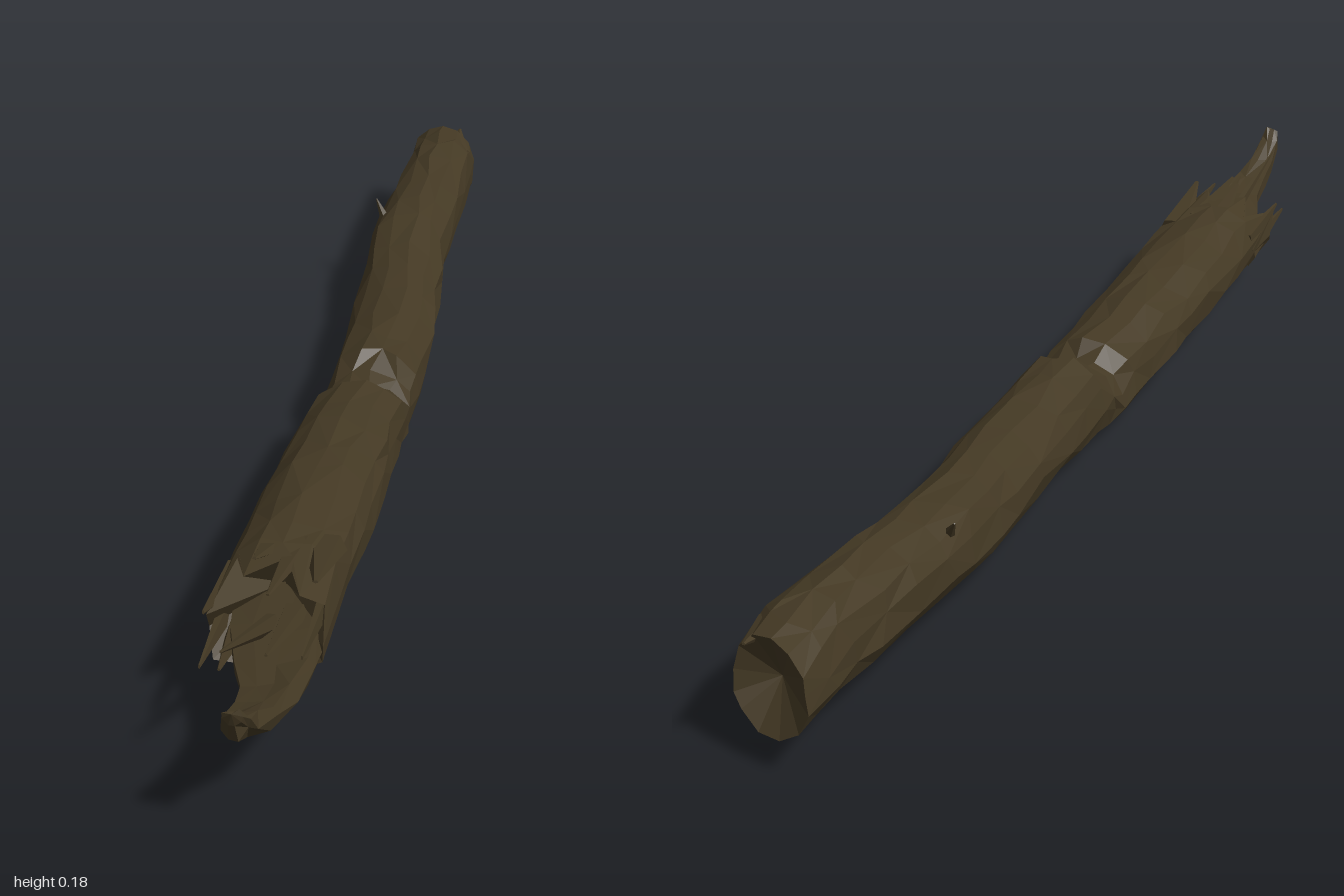
import * as THREE from 'three';

// Small seeded random, returns -1..1
function makeRandom(seed) {
  let s = seed;
  return () => {
    s = (s * 16807) % 2147483647;
    return (s / 2147483647) * 2 - 1;
  };
}

// Interpolates cross-sections [z, xMin, xMax, yMin, yMax] at a given z
function sectionAt(keys, z) {
  let i = 0;
  while (i < keys.length - 2 && z > keys[i + 1][0]) i++;
  const t = (z - keys[i][0]) / (keys[i + 1][0] - keys[i][0]);
  return keys[i].map((v, k) => v + (keys[i + 1][k] - v) * t);
}

// Skins rings of points (back to front) and closes both ends around centre points
function skin(rings, backCentre, frontCentre) {
  const n = rings[0].length;
  const index = [];
  for (let i = 0; i < rings.length - 1; i++) {
    for (let j = 0; j < n; j++) {
      const a = i * n + j, b = i * n + (j + 1) % n;
      const c = a + n, d = b + n;
      if ((i + j) % 2) index.push(a, b, d, a, d, c);
      else index.push(a, b, c, b, d, c);
    }
  }
  const points = rings.flat();
  const back = points.length, front = back + 1, last = (rings.length - 1) * n;
  for (let j = 0; j < n; j++) {
    const k = (j + 1) % n;
    index.push(back, k, j, front, last + j, last + k);
  }
  points.push(backCentre, frontCentre);
  const geometry = new THREE.BufferGeometry();
  geometry.setAttribute('position', new THREE.Float32BufferAttribute(points.flat(), 3));
  geometry.setIndex(index);
  geometry.computeVertexNormals();
  return geometry;
}

export function createModel() {
  const group = new THREE.Group();
  const bark = new THREE.MeshStandardMaterial({ color: 0x443924, flatShading: true, side: THREE.DoubleSide });
  bark.name = 'dark bark';

  const add = (name, geometry) => {
    const mesh = new THREE.Mesh(geometry, bark);
    mesh.name = name;
    group.add(mesh);
    return mesh;
  };

  // Trunk: bent, lumpy log with a notch across the middle
  const trunkKeys = [
    [-0.97, -0.037, 0.072, 0.042, 0.157], [-0.88, -0.037, 0.077, 0.035, 0.166],
    [-0.75, -0.046, 0.074, 0.033, 0.160], [-0.57, -0.060, 0.065, 0.026, 0.146],
    [-0.40, -0.054, 0.074, 0.015, 0.131], [-0.20, -0.050, 0.083, 0.013, 0.130],
    [-0.04, -0.050, 0.080, 0.008, 0.138], [0.00, -0.052, 0.078, 0.003, 0.112],
    [0.02, -0.056, 0.076, 0.003, 0.108], [0.05, -0.062, 0.074, 0.008, 0.130],
    [0.20, -0.072, 0.073, 0.018, 0.142], [0.40, -0.079, 0.070, 0.030, 0.156],
    [0.60, -0.086, 0.064, 0.045, 0.163], [0.70, -0.086, 0.060, 0.054, 0.155],
  ];
  const trunkZ = [-0.97, -0.93, -0.88, -0.8, -0.71, -0.63, -0.56, -0.47, -0.39, -0.3, -0.21,
    -0.12, -0.05, -0.01, 0.015, 0.05, 0.12, 0.2, 0.28, 0.36, 0.44, 0.52, 0.59, 0.65];
  const rand = makeRandom(4721);
  const sides = 13;
  const ridges = Array.from({ length: sides }, () => 1.015 + 0.025 * rand());
  // Torn lengths of the front rim, starting at +x and going over the top
  const tear = [0.08, 0.03, 0.05, -0.03, 0.02, -0.05, 0.06, 0.03, 0.07, 0.05, 0.08, 0.06, 0.07];
  const trunkRings = trunkZ.map((z, i) => {
    const [, x0, x1, y0, y1] = sectionAt(trunkKeys, z);
    const twist = 0.14 * Math.sin(z * 5);
    return ridges.map((ridge, j) => {
      const a = (j + 0.22 * rand()) / sides * Math.PI * 2 + twist;
      const r = ridge + 0.045 * rand();
      const x = (x0 + x1) / 2 + Math.cos(a) * r * (x1 - x0) / 2;
      const y = (y0 + y1) / 2 + Math.sin(a) * r * (y1 - y0) / 2;
      let dz = 0.018 * rand();
      if (i === 0) dz = Math.max(-0.03, -0.012 + 0.35 * (x - 0.02) + 0.12 * (y - 0.1));
      else if (i === trunkZ.length - 1) dz = tear[j];
      else if (i > 11 && i < 16) dz *= 0.4;
      return [x, Math.max(0, y), z + dz];
    });
  });
  add('trunk', skin(trunkRings, [0.02, 0.095, -0.945], [-0.01, 0.1, 0.58]));

  // Tongue: long splinter left on the lower side, curling up to the tip
  const tongueKeys = [
    [0.50, -0.065, 0.058, 0.043, 0.125], [0.62, -0.068, 0.060, 0.049, 0.125],
    [0.70, -0.060, 0.058, 0.055, 0.125], [0.77, -0.040, 0.056, 0.060, 0.122],
    [0.83, -0.022, 0.048, 0.070, 0.122], [0.89, -0.018, 0.035, 0.086, 0.132],
    [0.94, -0.018, 0.022, 0.103, 0.150], [0.975, -0.014, 0.018, 0.130, 0.170],
    [0.995, -0.010, 0.014, 0.156, 0.182],
  ];
  const tongueRings = tongueKeys.map(([z, x0, x1, y0, y1]) => Array.from({ length: 9 }, (_, j) => {
    const a = (j + 0.2 * rand()) / 9 * Math.PI * 2;
    const hollow = Math.sin(a) > 0.8 ? 0.45 : 1;
    return [
      (x0 + x1) / 2 + Math.cos(a) * (x1 - x0) / 2,
      (y0 + y1) / 2 + Math.sin(a) * hollow * (y1 - y0) / 2,
      z + (z < 0.98 ? 0.012 * rand() : 0),
    ];
  }));
  add('tongueSplinter', skin(tongueRings, [0, 0.085, 0.5], [0.002, 0.174, 1]));

  // Splinters and twig stub: [name, base, tip, width, thickness]
  const splinters = [
    ['topSplinter', [-0.025, 0.135, 0.54], [-0.032, 0.178, 0.665], 0.024, 0.014],
    ['topSplinter', [0.035, 0.135, 0.54], [0.045, 0.166, 0.69], 0.028, 0.016],
    ['topSplinter', [0.005, 0.145, 0.56], [-0.005, 0.167, 0.73], 0.020, 0.012],
    ['sideSplinter', [-0.072, 0.105, 0.58], [-0.084, 0.132, 0.72], 0.014, 0.024],
    ['sideSplinter', [-0.072, 0.085, 0.60], [-0.076, 0.100, 0.79], 0.012, 0.024],
    ['sideSplinter', [-0.055, 0.075, 0.62], [-0.055, 0.092, 0.78], 0.018, 0.014],
    ['sideSplinter', [0.050, 0.110, 0.60], [0.046, 0.128, 0.80], 0.012, 0.026],
    ['innerSplinter', [-0.010, 0.100, 0.68], [-0.034, 0.172, 0.872], 0.010, 0.014],
    ['innerSplinter', [0.015, 0.105, 0.66], [0.008, 0.140, 0.82], 0.018, 0.014],
    ['twigStub', [-0.035, 0.115, -0.60], [-0.056, 0.148, -0.625], 0.010, 0.010],
    ['endSplinter', [0.050, 0.135, -0.90], [0.045, 0.150, -0.985], 0.020, 0.014],
  ];
  const up = new THREE.Vector3(0, 1, 0);
  for (const [name, base, tip, width, thickness] of splinters) {
    const from = new THREE.Vector3(...base), to = new THREE.Vector3(...tip);
    const axis = to.clone().sub(from);
    const geometry = new THREE.CylinderGeometry(0.12, 1, 1, 5, 2);
    geometry.scale(width, axis.length(), thickness);
    const mesh = add(name, geometry);
    mesh.position.copy(from).add(to).multiplyScalar(0.5);
    mesh.quaternion.setFromUnitVectors(up, axis.normalize());
  }

  return group;
}
